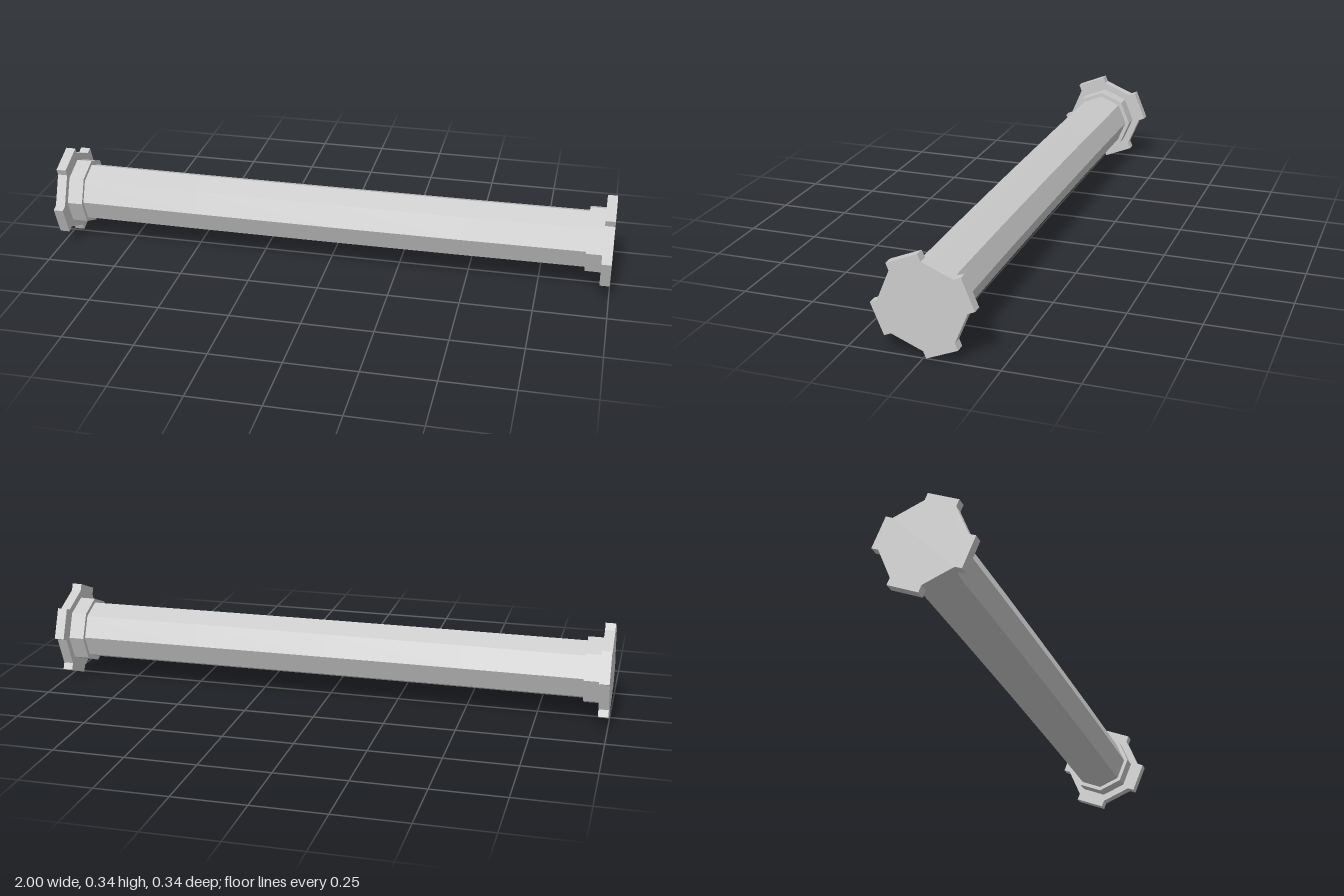
import * as THREE from 'three';

const CENTRE_Y = 0.173;
const material = new THREE.MeshStandardMaterial({ color: 0xcccccc, flatShading: true });

// Eight-sided bar lying along x
function octagonBar(radius, length, segments = 1) {
  return new THREE.CylinderGeometry(radius, radius, length, 8, segments).rotateZ(Math.PI / 2);
}

// Octagon with a raised tooth on every other edge
function toothedShape(radius, tooth) {
  const points = [];
  for (let i = 0; i < 8; i++) {
    const a = (i * Math.PI) / 4;
    const corner = (angle) => new THREE.Vector2(-Math.sin(angle) * radius, Math.cos(angle) * radius);
    points.push(corner(a));
    if (i % 2 === 0) {
      const mid = a + Math.PI / 8;
      const out = new THREE.Vector2(-Math.sin(mid), Math.cos(mid)).multiplyScalar(tooth);
      points.push(corner(a).add(out), corner(a + Math.PI / 4).add(out));
    }
  }
  return new THREE.Shape(points);
}

export function createModel() {
  const model = new THREE.Group();
  model.name = 'column';
  const add = (name, geometry, x = 0) => {
    const mesh = new THREE.Mesh(geometry, material);
    mesh.name = name;
    mesh.position.set(x, CENTRE_Y, 0);
    model.add(mesh);
  };

  // Shaft, bowed very slightly towards the front
  const shaft = octagonBar(0.105, 1.94, 4);
  const p = shaft.attributes.position;
  for (let i = 0; i < p.count; i++) {
    p.setZ(i, p.getZ(i) + 0.006 * (1 - (p.getX(i) / 0.97) ** 2));
  }
  shaft.computeVertexNormals();
  add('shaft', shaft);

  // Collar and toothed flange at each end
  const flange = new THREE.ExtrudeGeometry(toothedShape(0.147, 0.025), { depth: 0.035, bevelEnabled: false });
  flange.rotateY(Math.PI / 2).translate(-0.0175, 0, 0);
  const collar = octagonBar(0.12, 0.06);
  for (const [side, s] of [['left', 1], ['right', -1]]) {
    add(side + 'Collar', collar, s * 0.94);
    add(side + 'Flange', flange, s * 0.9825);
  }
  return model;
}
